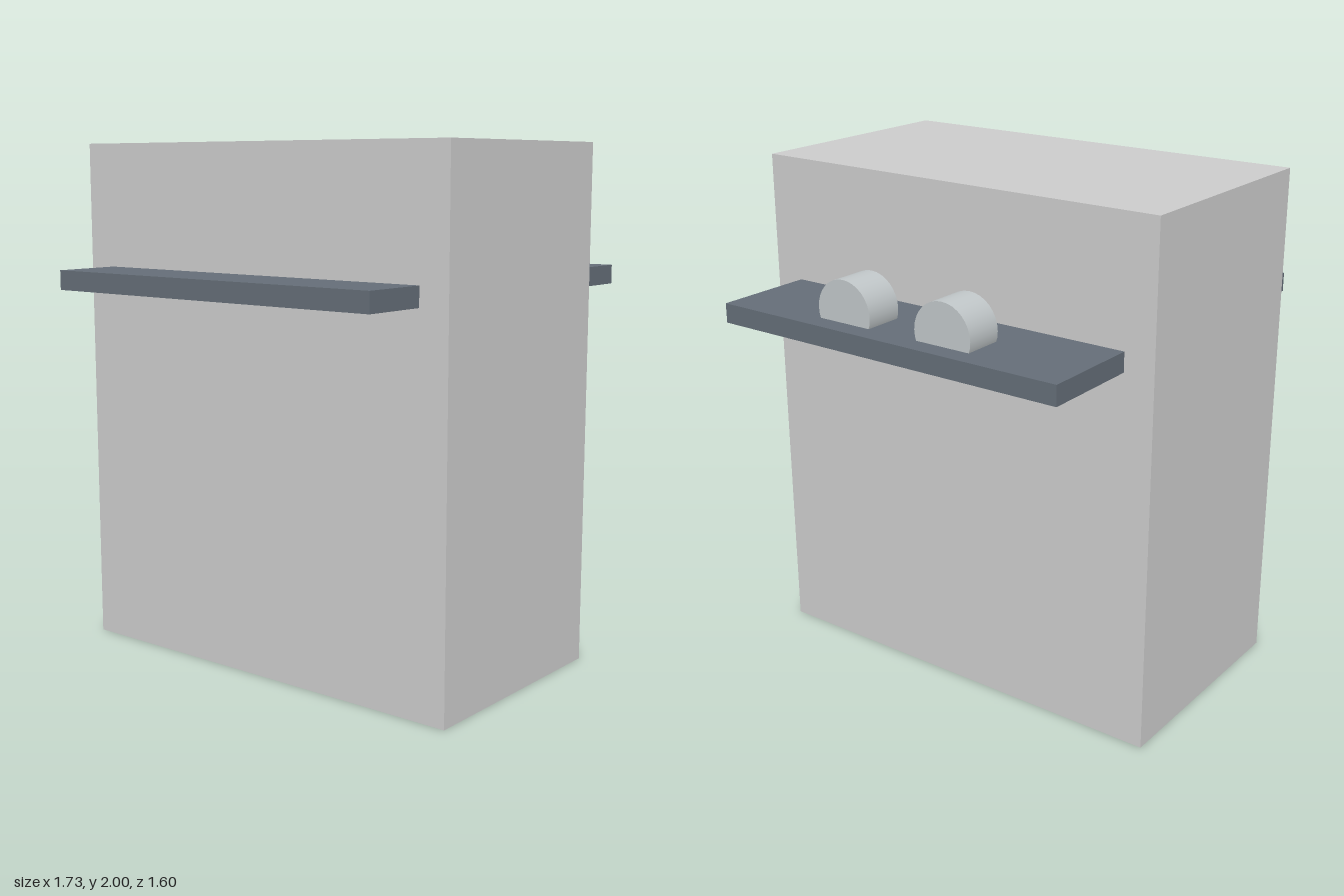
import * as THREE from 'three';

export function createModel() {
  const group = new THREE.Group();
  const bodyMat = new THREE.MeshStandardMaterial({ color: 0xcccccc });
  const shelfMat = new THREE.MeshStandardMaterial({ color: 0x646d77 });
  const rollerMat = new THREE.MeshStandardMaterial({ color: 0xc0c6c8 });

  const add = (name, geometry, material, x, y, z) => {
    const mesh = new THREE.Mesh(geometry, material);
    mesh.name = name;
    mesh.position.set(x, y, z);
    group.add(mesh);
  };

  // Main block, set slightly forward
  add('body', new THREE.BoxGeometry(1.73, 2, 0.93), bodyMat, 0, 1, 0.065);

  // Board passing through the block, forming a front and a back ledge
  add('shelf', new THREE.BoxGeometry(1.49, 0.075, 1.6), shelfMat, 0, 1.4825, 0);

  // Two rollers sunk through the back ledge, axis front to back
  const roller = new THREE.CylinderGeometry(0.121, 0.121, 0.153, 32).rotateX(Math.PI / 2);
  add('leftRoller', roller, rollerMat, 0.222, 1.559, -0.646);
  add('rightRoller', roller, rollerMat, -0.222, 1.559, -0.646);

  return group;
}
